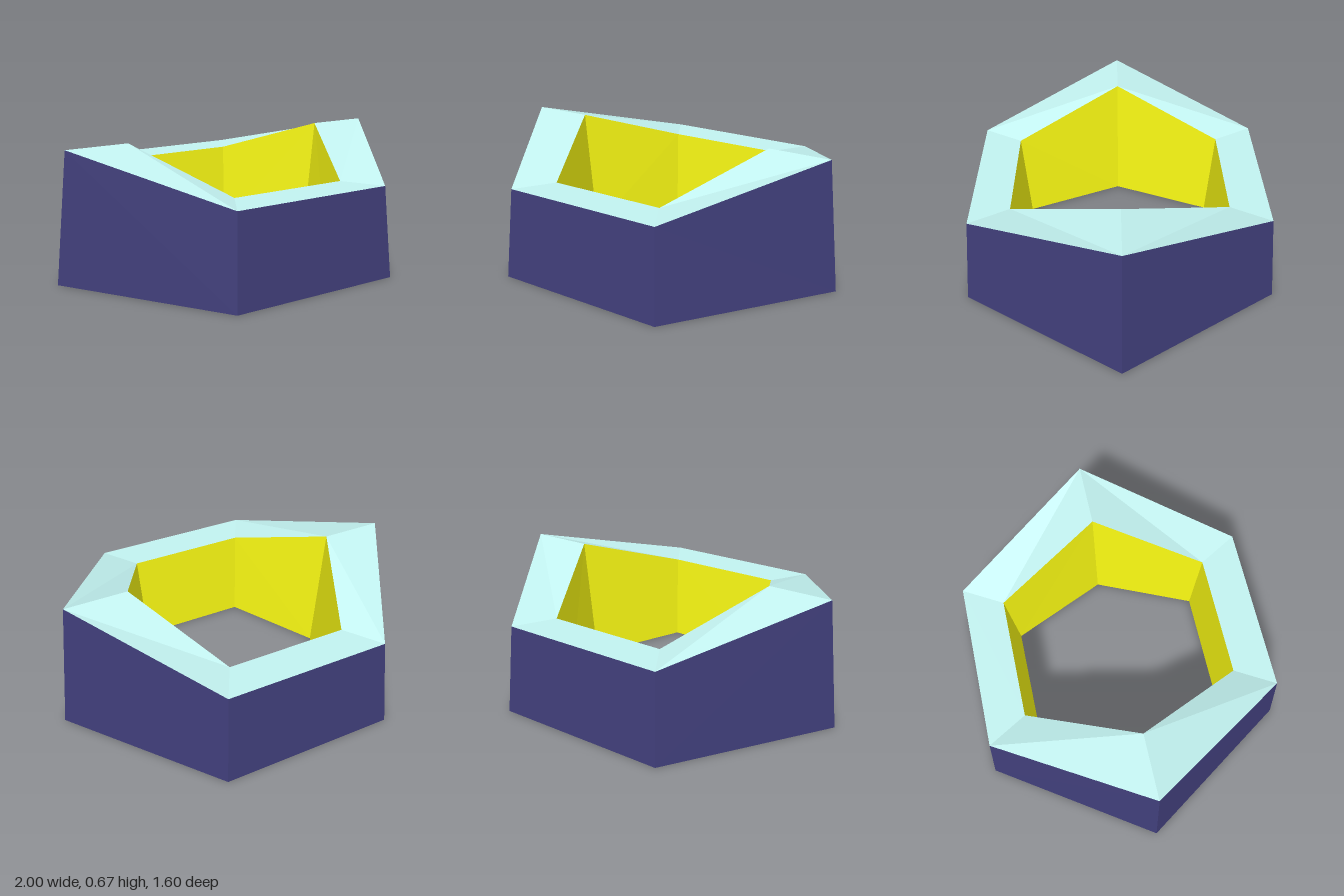
import * as THREE from 'three';

// Six-cornered ring, starting at +x and turning towards +z
function hexRing(sideX, cornerX, cornerZ, sideY, cornerY) {
  return [
    [sideX, sideY, 0], [cornerX, cornerY, cornerZ], [-cornerX, cornerY, cornerZ],
    [-sideX, sideY, 0], [-cornerX, cornerY, -cornerZ], [cornerX, cornerY, -cornerZ],
  ];
}

// Band of faces joining two rings; the diagonals mirror front to back
function band(name, a, b, color) {
  const positions = [];
  for (let i = 0; i < 6; i++) {
    const j = (i + 1) % 6;
    const corners = i < 3
      ? [a[i], b[i], b[j], a[i], b[j], a[j]]
      : [a[i], b[i], a[j], b[i], b[j], a[j]];
    positions.push(...corners.flat());
  }
  const geometry = new THREE.BufferGeometry();
  geometry.setAttribute('position', new THREE.Float32BufferAttribute(positions, 3));
  geometry.computeVertexNormals();
  const mesh = new THREE.Mesh(geometry, new THREE.MeshStandardMaterial({ color, flatShading: true }));
  mesh.name = name;
  return mesh;
}

export function createModel() {
  const group = new THREE.Group();
  group.name = 'hexagonalRing';

  const outerBottom = hexRing(1, 0.465, 0.802, 0, 0);
  const outerTop = hexRing(0.93, 0.44, 0.761, 0.672, 0.472);
  const innerTop = hexRing(0.595, 0.322, 0.557, 0.672, 0.472);
  const innerBottom = hexRing(0.528, 0.299, 0.517, 0, 0);

  // Tapered outside, raised rim, funnel-shaped opening and flat underside
  group.add(
    band('outerWall', outerBottom, outerTop, 0x3f3d78),
    band('rim', outerTop, innerTop, 0xc2f2f0),
    band('innerWall', innerTop, innerBottom, 0xf5f512),
    band('underside', innerBottom, outerBottom, 0x5d735b),
  );
  return group;
}
